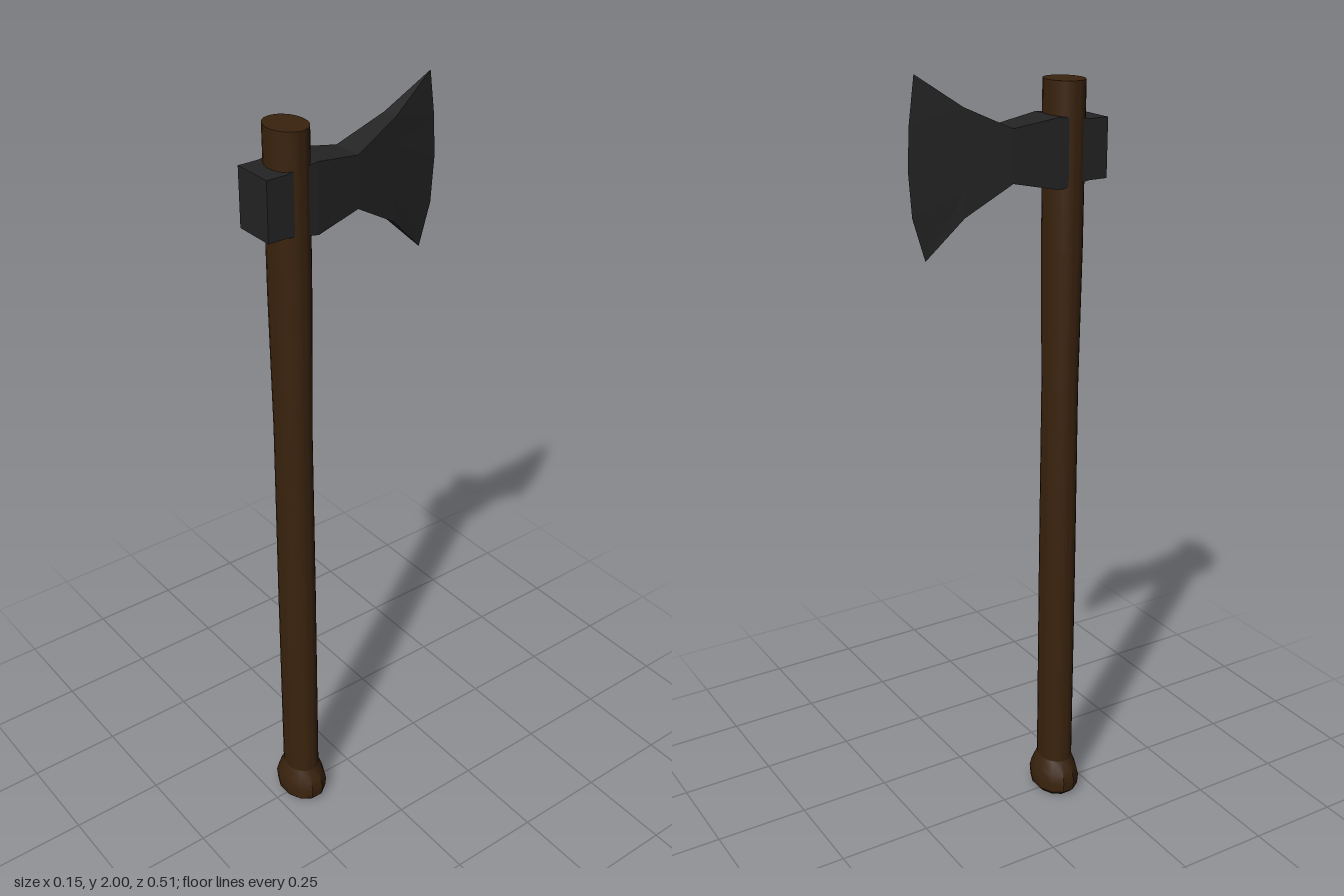
import * as THREE from 'three';
import { toCreasedNormals } from 'three/addons/utils/BufferGeometryUtils.js';

const HANDLE_Z = 0.165;

// Oval turned part from a [radius, height] profile, listed bottom to top
function turned(name, profile, sides, material) {
  const points = profile.map(([r, y]) => new THREE.Vector2(r, y));
  const geometry = new THREE.LatheGeometry(points, sides, Math.PI / sides);
  geometry.scale(1, 1, 0.8);
  const mesh = new THREE.Mesh(toCreasedNormals(geometry, 0.6), material);
  mesh.name = name;
  mesh.position.z = HANDLE_Z;
  return mesh;
}

// Wedge head: each section is a column of [z, y] points, top to bottom, with a half width
function headGeometry() {
  const column = (z, top, bottom) =>
    [0, 0.25, 0.5, 0.75, 1].map((t) => [z, top + (bottom - top) * t]);
  const sections = [
    { half: 0.054, pts: column(0.255, 1.875, 1.73) },
    { half: 0.054, pts: column(0.205, 1.875, 1.73) },
    { half: 0.054, pts: column(0.12, 1.885, 1.715) },
    { half: 0.04, pts: column(0, 1.867, 1.74) },
    { half: 0.021, pts: column(-0.12, 1.922, 1.67) },
    { half: 0, pts: [[-0.235, 2], [-0.25, 1.89], [-0.255, 1.79], [-0.247, 1.68], [-0.215, 1.575]] },
  ];
  const positions = [];
  const point = (s, j, side) => [side * s.half, s.pts[j][1], s.pts[j][0]];
  const quad = (a, b, c, d) => positions.push(...a, ...b, ...c, ...a, ...c, ...d);

  for (let i = 0; i < sections.length - 1; i++) {
    const s = sections[i], n = sections[i + 1];
    // Cheeks
    for (let j = 0; j < 4; j++) {
      quad(point(s, j, 1), point(s, j + 1, 1), point(n, j + 1, 1), point(n, j, 1));
      quad(point(s, j, -1), point(n, j, -1), point(n, j + 1, -1), point(s, j + 1, -1));
    }
    // Upper and lower edges
    quad(point(s, 0, -1), point(s, 0, 1), point(n, 0, 1), point(n, 0, -1));
    quad(point(s, 4, 1), point(s, 4, -1), point(n, 4, -1), point(n, 4, 1));
  }
  // Flat poll
  const p = sections[0];
  quad(point(p, 4, -1), point(p, 4, 1), point(p, 0, 1), point(p, 0, -1));

  const geometry = new THREE.BufferGeometry();
  geometry.setAttribute('position', new THREE.Float32BufferAttribute(positions, 3));
  geometry.computeVertexNormals();
  return geometry;
}

export function createModel() {
  const wood = new THREE.MeshStandardMaterial({ color: 0x3a230e });
  wood.name = 'dark wood';
  const iron = new THREE.MeshStandardMaterial({ color: 0x242424 });
  iron.name = 'dark iron';

  const axe = new THREE.Group();
  axe.name = 'axe';

  // Slightly waisted shaft
  axe.add(turned('handleShaft', [
    [0, 0.08], [0.056, 0.08], [0.056, 0.7], [0.054, 1.2], [0.059, 1.56], [0.06, 1.965], [0, 1.965],
  ], 24, wood));

  // Flared grip end
  axe.add(turned('handleKnob', [
    [0, 0], [0.062, 0], [0.077, 0.015], [0.08, 0.045], [0.073, 0.07], [0.057, 0.105],
  ], 12, wood));

  const head = new THREE.Mesh(headGeometry(), iron);
  head.name = 'axeHead';
  axe.add(head);

  return axe;
}
